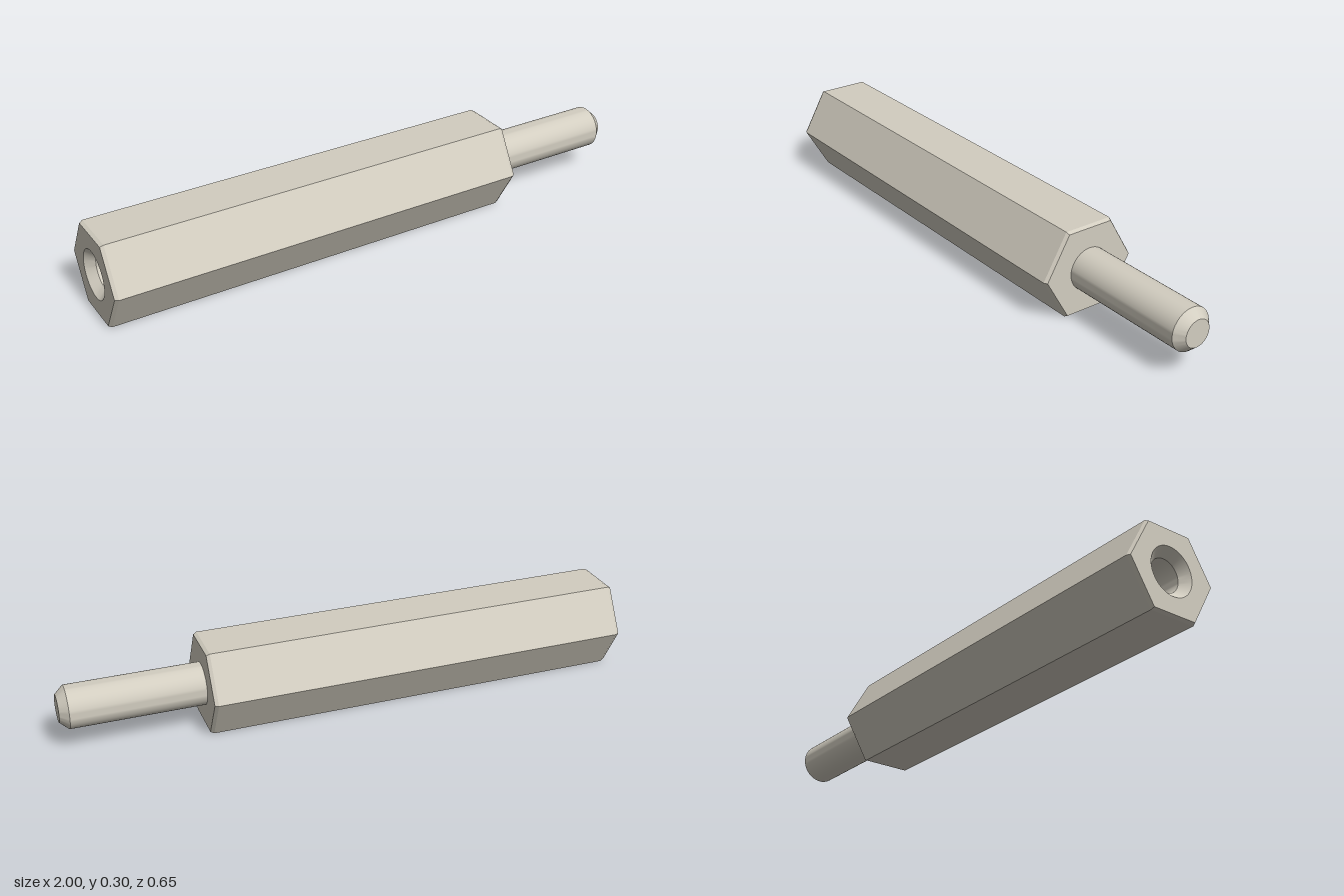
import * as THREE from 'three';
import { toCreasedNormals } from 'three/addons/utils/BufferGeometryUtils.js';

const APOTHEM = 0.151;      // half the width across the flats
const BODY = 1.51;          // hex body length
const TOTAL = 1.998;        // body plus stud
const BEVEL = 0.012;
const hexRadius = (apothem) => apothem / Math.cos(Math.PI / 6);

export function createModel() {
  const steel = new THREE.MeshStandardMaterial({ color: 0xd2cdc0 });
  steel.name = 'pale steel';

  const model = new THREE.Group();
  model.name = 'hexStandoff';
  const axis = new THREE.Group(); // built upright along y, then laid down
  axis.name = 'standoffAxis';
  axis.rotation.z = -Math.PI / 2;

  const add = (name, geometry) => {
    const mesh = new THREE.Mesh(geometry, steel);
    mesh.name = name;
    axis.add(mesh);
  };
  const turned = (name, points, sides) => {
    const profile = points.map(([r, y]) => new THREE.Vector2(r, y));
    add(name, toCreasedNormals(new THREE.LatheGeometry(profile, sides), 0.4));
  };

  // Hexagonal body with thin bevels at both ends
  const R = hexRadius(APOTHEM);
  const r = hexRadius(APOTHEM - 0.006);
  turned('hexBody', [[r, 0], [R, BEVEL], [R, BODY - BEVEL], [r, BODY], [0, BODY]], 6);

  // End face around the threaded hole
  const hex = new THREE.Shape();
  for (let i = 0; i < 6; i++) {
    const a = Math.PI / 2 + (i * Math.PI) / 3;
    hex[i ? 'lineTo' : 'moveTo'](r * Math.cos(a), r * Math.sin(a));
  }
  hex.closePath();
  const hole = new THREE.Path();
  hole.absarc(0, 0, 0.085, 0, Math.PI * 2, true);
  hex.holes.push(hole);
  add('socketFace', new THREE.ShapeGeometry(hex, 24).rotateX(Math.PI / 2));

  // Countersunk blind bore, facing inward
  turned('bore', [[0, 0.53], [0.057, 0.5], [0.057, 0.03], [0.085, 0]], 48);

  // Round stud with a chamfered tip
  turned('stud', [[0.074, BODY - 0.01], [0.074, TOTAL - 0.03], [0.047, TOTAL], [0, TOTAL]], 48);

  // Lay the part along x, turned slightly in plan
  const pose = new THREE.Group();
  pose.name = 'pose';
  pose.add(axis);
  pose.position.set(-0.964, APOTHEM, -0.158);
  pose.rotation.y = -THREE.MathUtils.degToRad(12);
  model.add(pose);
  return model;
}
